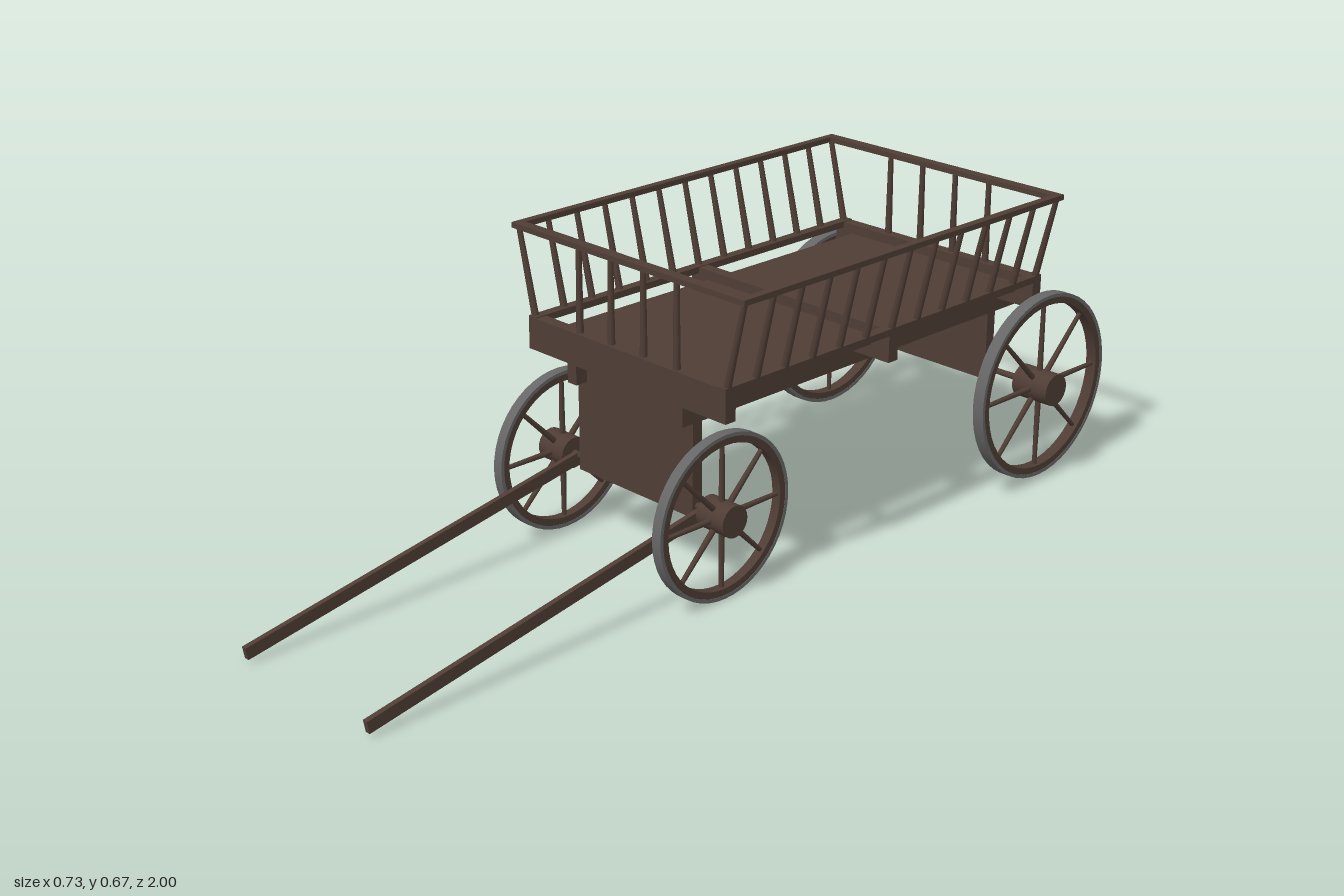
import * as THREE from 'three';

const wood = new THREE.MeshStandardMaterial({ color: 0x4f3d35 });
wood.name = 'dark wood';
const iron = new THREE.MeshStandardMaterial({ color: 0x666666 });
iron.name = 'iron';

function add(parent, name, geometry, material = wood) {
  const mesh = new THREE.Mesh(geometry, material);
  mesh.name = name;
  parent.add(mesh);
  return mesh;
}

// Box given by its limits on each axis
function box(parent, name, [x0, x1], [y0, y1], [z0, z1]) {
  const mesh = add(parent, name, new THREE.BoxGeometry(x1 - x0, y1 - y0, z1 - z0));
  mesh.position.set((x0 + x1) / 2, (y0 + y1) / 2, (z0 + z1) / 2);
  return mesh;
}

// Tapered round stick from a to b
function stick(parent, name, a, b, rA, rB, sides = 8) {
  const from = new THREE.Vector3(...a);
  const dir = new THREE.Vector3(...b).sub(from);
  const mesh = add(parent, name, new THREE.CylinderGeometry(rB, rA, dir.length(), sides));
  mesh.position.copy(from).addScaledVector(dir, 0.5);
  mesh.quaternion.setFromUnitVectors(new THREE.Vector3(0, 1, 0), dir.normalize());
  return mesh;
}

// Flat ring with square edges, turned about the x axis
function ringGeometry(inner, outer, width) {
  const w = width / 2;
  const corners = [[inner, -w], [outer, -w], [outer, w], [inner, w], [inner, -w]];
  const points = [];
  for (let i = 0; i < 4; i++) {
    // each edge has its own ends so that the corners stay sharp
    const p = new THREE.Vector2(...corners[i]);
    const q = new THREE.Vector2(...corners[i + 1]);
    points.push(p, p.clone().lerp(q, 0.001), p.clone().lerp(q, 0.999));
  }
  points.push(new THREE.Vector2(...corners[4]));
  return new THREE.LatheGeometry(points, 48).rotateZ(-Math.PI / 2);
}

function makeWheel(name, radius, width, hubRadius, hubLength) {
  const wheel = new THREE.Group();
  wheel.name = name;
  add(wheel, 'tyre', ringGeometry(radius - 0.008, radius, width), iron);
  add(wheel, 'felloe', ringGeometry(radius - 0.023, radius - 0.007, width - 0.002));
  add(wheel, 'hub', new THREE.CylinderGeometry(hubRadius, hubRadius, hubLength, 24).rotateZ(Math.PI / 2));
  for (let i = 0; i < 8; i++) {
    const a = (i * Math.PI) / 4;
    const c = Math.cos(a), s = Math.sin(a), r = radius - 0.015;
    stick(wheel, 'spoke', [0, 0, 0], [0, r * c, r * s], 0.007, 0.005);
  }
  return wheel;
}

export function createModel() {
  const cart = new THREE.Group();
  cart.name = 'cart';
  const front = 0.185, back = -0.8, mid = (front + back) / 2;

  // Bed: floor, cross beams and the two long bearers
  box(cart, 'floor', [-0.243, 0.243], [0.438, 0.46], [back + 0.015, front - 0.015]);
  for (const z of [front - 0.014, mid, back + 0.014]) {
    box(cart, 'crossBeam', [-0.293, 0.293], [0.41, 0.482], [z - 0.014, z + 0.014]);
  }
  for (const s of [-1, 1]) {
    const bearer = box(cart, 'bearer', [-0.0135, 0.0135], [0.367, 0.41], [-0.937, front]);
    bearer.position.x = s * 0.1585;
  }

  // Side frames with leaning slats
  for (const s of [-1, 1]) {
    const lower = box(cart, 'lowerRail', [-0.0115, 0.0115], [0.469, 0.484], [back, front]);
    lower.position.x = s * 0.2815;
    const upper = box(cart, 'upperRail', [-0.009, 0.009], [0.666, 0.678], [back, front]);
    upper.position.x = s * 0.332;
    for (let i = 0; i < 13; i++) {
      const z = front - 0.012 + ((back - front + 0.024) * i) / 12;
      stick(cart, 'sideSlat', [s * 0.284, 0.475, z], [s * 0.331, 0.668, z], 0.008, 0.006);
    }
  }

  // End frames with upright slats
  for (const z of [front - 0.012, back + 0.012]) {
    box(cart, 'endRail', [-0.341, 0.341], [0.666, 0.678], [z - 0.012, z + 0.012]);
    for (const x of [-0.144, -0.048, 0.048, 0.144]) {
      stick(cart, 'endSlat', [x, 0.475, z], [x, 0.668, z], 0.008, 0.006);
    }
  }

  // Axles, the boards above them, and the wheels
  const sets = [
    { name: 'front', z: 0.143, y: 0.184, r: 0.181, x: 0.242, w: 0.024, hub: 0.035, len: 0.076 },
    { name: 'rear', z: -0.785, y: 0.232, r: 0.215, x: 0.3165, w: 0.028, hub: 0.037, len: 0.094 },
  ];
  for (const p of sets) {
    box(cart, p.name + 'AxleBoard', [-0.172, 0.172], [p.y - 0.024, 0.412], [p.z - 0.013, p.z + 0.013]);
    stick(cart, p.name + 'Axle', [-p.x, p.y, p.z], [p.x, p.y, p.z], 0.007, 0.007, 16);
    for (const s of [-1, 1]) {
      const wheel = makeWheel(p.name + (s > 0 ? 'Left' : 'Right') + 'Wheel', p.r, p.w, p.hub, p.len);
      wheel.position.set(s * p.x, p.y, p.z);
      cart.add(wheel);
    }
  }

  // Pulling shafts sloping down to the front
  const rise = 0.152, run = 0.857;
  for (const s of [-1, 1]) {
    const shaft = add(cart, 'shaft', new THREE.BoxGeometry(0.012, 0.027, Math.hypot(rise, run)));
    shaft.position.set(s * 0.193, 0.026 + rise / 2, 0.998 - run / 2);
    shaft.rotation.x = Math.atan2(rise, run);
  }
  return cart;
}
